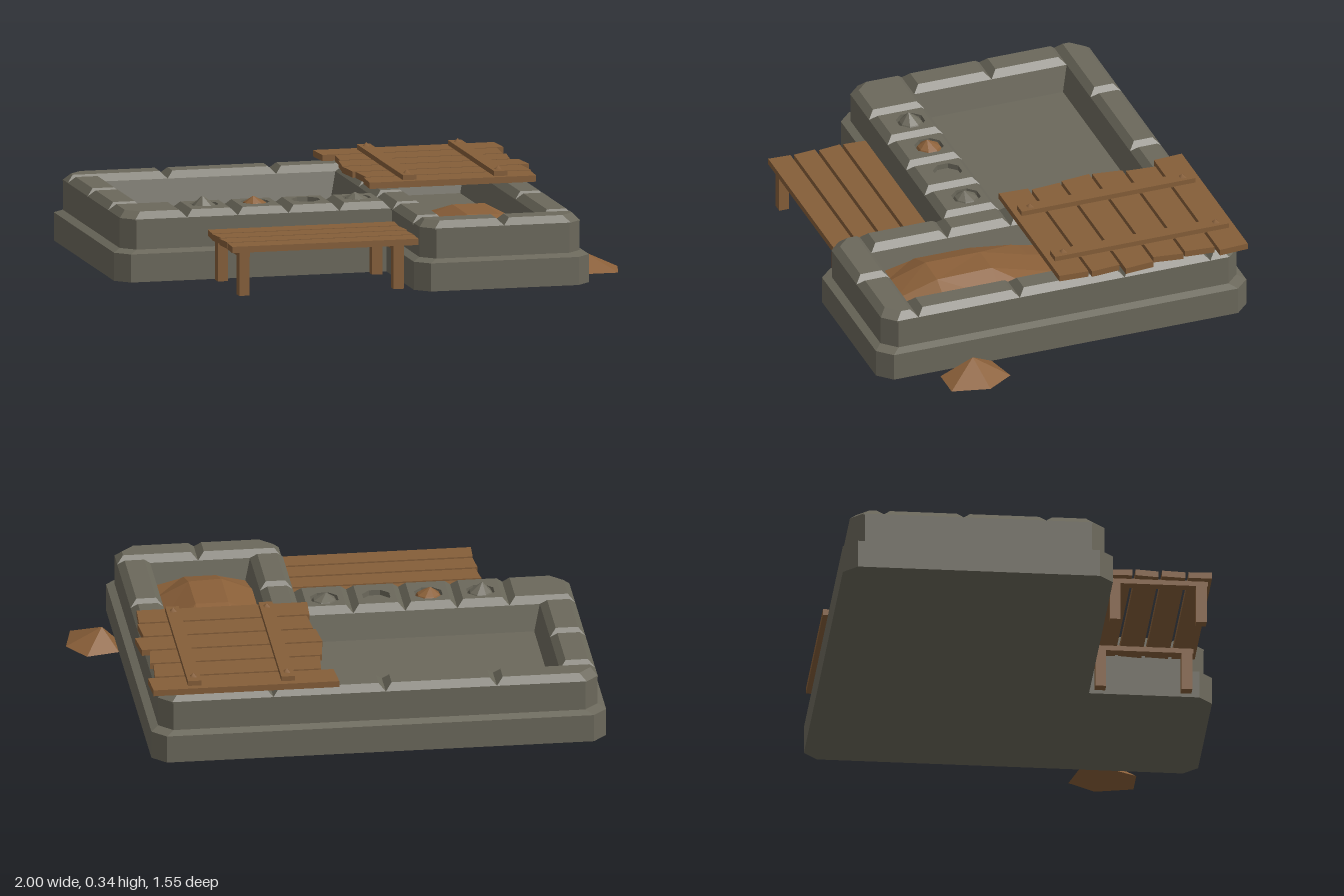
import * as THREE from 'three';
import { mergeGeometries } from 'three/addons/utils/BufferGeometryUtils.js';

const paint = (name, color) => {
  const m = new THREE.MeshStandardMaterial({ color });
  m.name = name;
  return m;
};

// Cuts the corners of a polygon; corners are [x, z, cut], anticlockwise from above
function outline(corners) {
  const points = [];
  corners.forEach(([x, z, cut = 0], i) => {
    const p = new THREE.Vector2(x, z);
    if (!cut) { points.push(p); return; }
    for (const step of [-1, 1]) {
      const n = corners[(i + step + corners.length) % corners.length];
      const dir = new THREE.Vector2(n[0] - x, n[1] - z).normalize();
      points.push(p.clone().addScaledVector(dir, cut));
    }
  });
  return points;
}

function rect(x0, x1, z0, z1, inset = 0, cut = {}) {
  const d = inset;
  return outline([[x0 + d, z1 - d, cut.fl], [x1 - d, z1 - d, cut.fr],
    [x1 - d, z0 + d, cut.br], [x0 + d, z0 + d, cut.bl]]);
}

function ngon(x, z, r, n = 8) {
  return Array.from({ length: n }, (_, i) => {
    const a = (i + 0.5) / n * Math.PI * 2;
    return new THREE.Vector2(x + r * Math.cos(a), z - r * Math.sin(a));
  });
}

// Flat-faced skin through [points, y] rings; rising rings face out, falling rings face in
function loft(rings) {
  const pos = [];
  for (let k = 0; k + 1 < rings.length; k++) {
    const [lo, y0] = rings[k], [hi, y1] = rings[k + 1];
    lo.forEach((a, i) => {
      const j = (i + 1) % lo.length, b = lo[j], c = hi[j], d = hi[i];
      pos.push(a.x, y0, a.y, b.x, y0, b.y, c.x, y1, c.y, a.x, y0, a.y, c.x, y1, c.y, d.x, y1, d.y);
    });
  }
  const g = new THREE.BufferGeometry();
  g.setAttribute('position', new THREE.Float32BufferAttribute(pos, 3));
  g.computeVertexNormals();
  return g;
}

// Horizontal face with optional holes
function cap(points, y, holes = [], down = false) {
  const flip = (list) => list.map((p) => new THREE.Vector2(p.x, -p.y));
  const shape = new THREE.Shape(flip(points));
  holes.forEach((h) => shape.holes.push(new THREE.Path(flip(h))));
  let g = new THREE.ShapeGeometry(shape).rotateX(-Math.PI / 2).translate(0, y, 0).toNonIndexed();
  if (down) {
    const p = g.attributes.position.array;
    for (let i = 0; i < p.length; i += 9) {
      for (let k = 0; k < 3; k++) [p[i + k], p[i + 3 + k]] = [p[i + 3 + k], p[i + k]];
    }
    g.computeVertexNormals();
  }
  g.deleteAttribute('uv');
  return g;
}

export function createModel() {
  const model = new THREE.Group();
  const stone = paint('stone', 0x6b685b);
  const wood = paint('wood', 0x855e39);
  const sand = paint('sand', 0x8b6039);
  const add = (name, geometry, material, parent = model) => {
    const mesh = new THREE.Mesh(geometry, material);
    mesh.name = name;
    parent.add(mesh);
    return mesh;
  };
  const group = (name) => {
    const g = new THREE.Group();
    g.name = name;
    model.add(g);
    return g;
  };

  // L-shaped stone body with two sunken basins
  const body = (d) => {
    const c = 0.055;
    return outline([[-1 + d, 0.285 - d, c], [0.09 + d, 0.285 - d], [0.09 + d, 0.775 - d, c],
      [0.8 - d, 0.775 - d, c], [0.8 - d, -0.78 + d, c], [-1 + d, -0.78 + d, c]]);
  };
  const basins = [[-0.83, 0.115, -0.62, 0.02], [0.245, 0.64, -0.62, 0.605]];
  const wallTop = 0.245, floor = 0.14;
  add('stoneBody', mergeGeometries([
    loft([[body(0), 0], [body(0), 0.112], [body(0.03), 0.125], [body(0.03), wallTop]]),
    cap(body(0.03), wallTop, basins.map((b) => rect(...b))),
    cap(body(0), 0, [], true),
  ]), stone);
  basins.forEach((b) => add('basin', mergeGeometries([
    loft([[rect(...b), wallTop], [rect(...b, 0.025), floor]]),
    cap(rect(...b, 0.025), floor),
  ]), stone));

  // Bevelled rim stones
  const rim = group('rimStones');
  const bevel = 0.026, top = 0.272;
  const rimStone = (x0, x1, z0, z1, cut = {}, hole) => {
    const low = rect(x0, x1, z0, z1, 0, cut), high = rect(x0, x1, z0, z1, bevel, cut);
    const parts = [loft([[low, wallTop - 0.005], [low, wallTop], [high, top]]),
      cap(high, top, hole ? [hole] : [])];
    if (hole) parts.push(loft([[hole, top], [hole, 0.25]]), cap(hole, 0.25));
    add('rimStone', mergeGeometries(parts), stone, rim);
  };
  const c = 0.05;
  rimStone(-0.97, -0.565, -0.75, -0.62, { bl: c });
  rimStone(-0.565, -0.125, -0.75, -0.62);
  rimStone(-0.125, 0.32, -0.75, -0.62);
  rimStone(0.32, 0.77, -0.75, -0.62, { br: c });
  rimStone(-0.97, -0.83, -0.62, -0.305);
  rimStone(-0.97, -0.83, -0.305, 0.02);
  rimStone(-0.97, -0.71, 0.02, 0.255, { fl: c });
  [[-0.62, -0.25], [-0.25, 0.02], [0.02, 0.285], [0.285, 0.605]].forEach(([a, b]) => rimStone(0.115, 0.245, a, b));
  [[-0.62, -0.26], [-0.26, 0.18], [0.18, 0.605]].forEach(([a, b]) => rimStone(0.64, 0.77, a, b));
  rimStone(0.12, 0.45, 0.605, 0.745, { fl: c });
  rimStone(0.45, 0.77, 0.605, 0.745, { fr: c });

  // Row of four bowl stones, three with small heaps
  [[0.305, stone], [0.295, sand], null, [0.293, stone]].forEach((heap, i) => {
    const x0 = -0.71 + i * 0.206, x = x0 + 0.103, z = 0.12;
    rimStone(x0, x0 + 0.206, 0.02, 0.255, {}, ngon(x, z, 0.058));
    if (heap) add('bowlHeap', loft([[ngon(x, z, 0.056), 0.25], [ngon(x, z, 0.045), 0.27], [ngon(x - 0.008, z + 0.005, 0.002), heap[0]]]), heap[1]);
  });

  // Faceted mound filling the side basin
  const xs = [0.245, 0.38, 0.51, 0.64], zs = [-0.28, 0, 0.2, 0.43, 0.605];
  const heights = [[0.13, 0.13, 0.13, 0.13], [0.16, 0.185, 0.185, 0.15],
    [0.185, 0.24, 0.24, 0.17], [0.185, 0.24, 0.235, 0.17], [0.15, 0.18, 0.18, 0.15]];
  const mound = [];
  const corner = (i, j) => mound.push(xs[i], heights[j][i], zs[j]);
  for (let j = 0; j < 4; j++) {
    for (let i = 0; i < 3; i++) {
      const rising = (i === 2) !== (j < 1);
      const tris = rising ? [[0, 0], [0, 1], [1, 0], [1, 0], [0, 1], [1, 1]]
        : [[0, 0], [0, 1], [1, 1], [0, 0], [1, 1], [1, 0]];
      tris.forEach(([a, b]) => corner(i + a, j + b));
    }
  }
  const moundGeometry = new THREE.BufferGeometry();
  moundGeometry.setAttribute('position', new THREE.Float32BufferAttribute(mound, 3));
  moundGeometry.computeVertexNormals();
  add('sandMound', moundGeometry, sand);

  // Spilled pile beside the wall
  const pile = [[0.8, 0.46], [0.84, 0.54], [0.965, 0.54], [1, 0.39], [0.93, 0.28], [0.8, 0.31]]
    .map(([x, z]) => new THREE.Vector2(x, z));
  const peak = pile.map(() => new THREE.Vector2(0.855, 0.41));
  add('spilledPile', mergeGeometries([loft([[pile, 0], [peak, 0.068]]), cap(pile, 0, [], true)]), sand);

  // Plank with slightly slanted ends
  const plank = (parent, name, x0, x1, y0, y1, z0, z1, skew = 0) => {
    const g = new THREE.BoxGeometry(x1 - x0, y1 - y0, z1 - z0);
    const p = g.attributes.position;
    for (let i = 0; i < p.count; i++) p.setX(i, p.getX(i) + Math.sign(p.getZ(i)) * skew);
    add(name, g, wood, parent).position.set((x0 + x1) / 2, (y0 + y1) / 2, (z0 + z1) / 2);
  };

  // Wooden lid with battens and pointed pegs
  const lid = group('lid');
  [[0.065, 0.8, 0.004], [0.112, 0.77, -0.005], [0.09, 0.77, -0.008], [0.085, 0.8, 0.006],
    [0.105, 0.775, 0.005], [0.095, 0.77, -0.003]].forEach(([x0, x1, skew], i) => {
    const z = -0.767 + i * 0.132;
    plank(lid, 'lidPlank', x0, x1, 0.282, 0.307, z, z + 0.12, skew);
  });
  for (const x of [0.26, 0.63]) {
    plank(lid, 'lidBatten', x - 0.027, x + 0.027, 0.305, 0.327, -0.74, -0.01);
    for (const z of [-0.695, -0.055]) {
      add('peg', new THREE.ConeGeometry(0.018, 0.016, 4).rotateY(Math.PI / 4), wood, lid).position.set(x, 0.334, z);
    }
  }

  // Slatted bench
  const bench = group('bench');
  [-0.003, 0.006, 0.004, -0.002].forEach((skew, i) => {
    const z = 0.297 + i * 0.105;
    plank(bench, 'benchSlat', -0.64, 0.115, 0.175, 0.2, z, z + 0.092, skew);
  });
  for (const x of [-0.588, 0.037]) {
    plank(bench, 'benchBeam', x - 0.021, x + 0.021, 0.155, 0.178, 0.3, 0.69);
    for (const z of [0.325, 0.665]) plank(bench, 'benchLeg', x - 0.021, x + 0.021, 0, 0.176, z - 0.021, z + 0.021);
  }
  return model;
}
